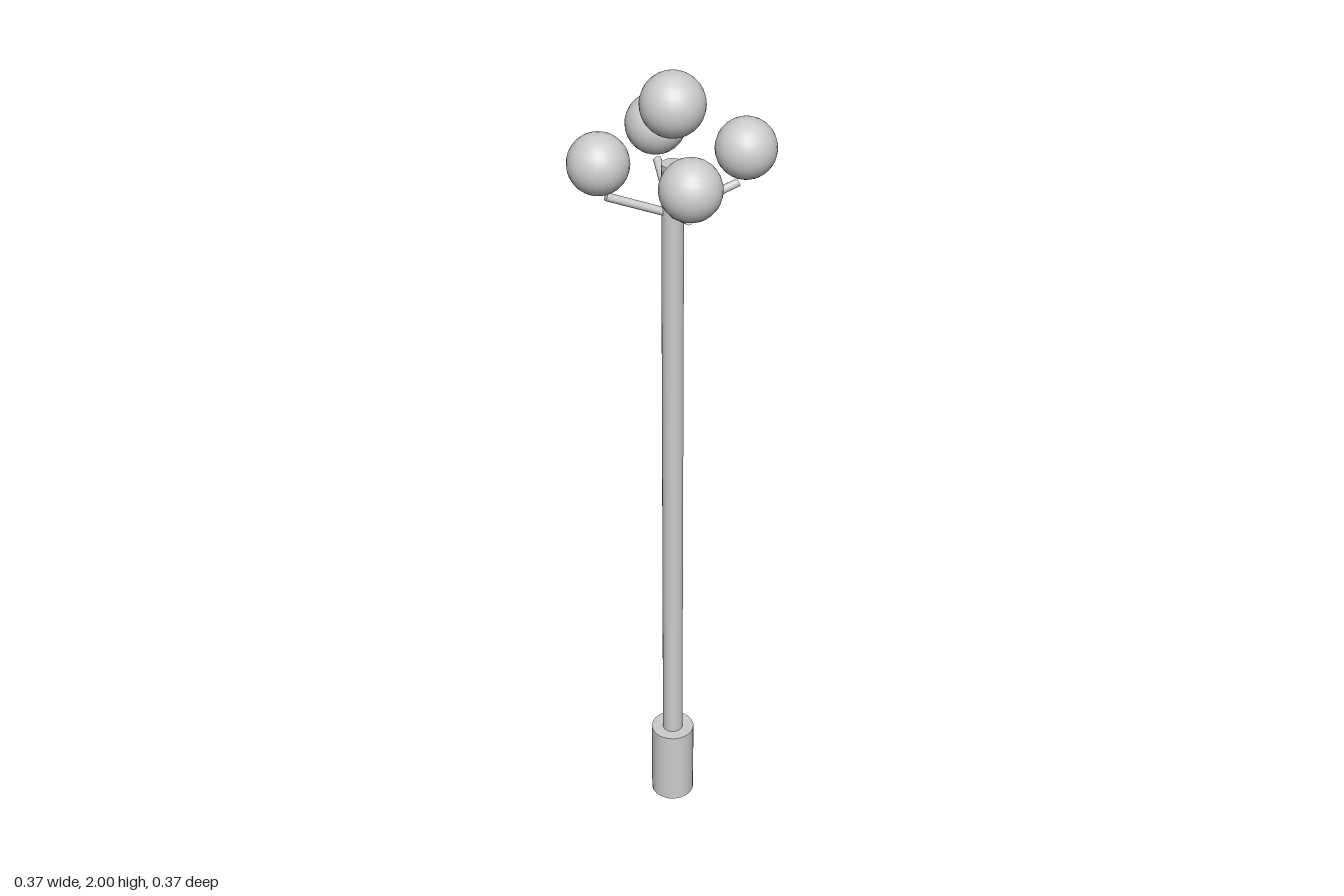
import * as THREE from 'three';

export function createModel() {
  const model = new THREE.Group();
  model.name = 'streetLamp';
  const grey = new THREE.MeshStandardMaterial({ color: 0xcccccc });
  grey.name = 'light grey';

  const add = (name, geometry, x, y, z) => {
    const mesh = new THREE.Mesh(geometry, grey);
    mesh.name = name;
    mesh.position.set(x, y, z);
    model.add(mesh);
    return mesh;
  };

  // Base and post
  const baseHeight = 0.204, postTop = 1.79;
  add('base', new THREE.CylinderGeometry(0.053, 0.053, baseHeight, 20), 0, baseHeight / 2, 0);
  add('post', new THREE.CylinderGeometry(0.025, 0.025, postTop - baseHeight, 16), 0, (postTop + baseHeight) / 2, 0);

  // Top globe, hovering above the post
  add('topGlobe', new THREE.SphereGeometry(0.072, 24, 16), 0, 1.928, 0);

  // Four diagonal arms, each with a globe above its tip
  const globe = new THREE.SphereGeometry(0.0685, 24, 16);
  const up = new THREE.Vector3(0, 1, 0);
  for (const sx of [-1, 1]) {
    for (const sz of [-1, 1]) {
      const label = (sz > 0 ? 'front' : 'back') + (sx > 0 ? 'Left' : 'Right');
      const start = new THREE.Vector3(sx * 0.013, 1.676, sz * 0.013);
      const end = new THREE.Vector3(sx * 0.104, 1.728, sz * 0.104);
      const along = end.clone().sub(start);
      const mid = start.clone().add(end).multiplyScalar(0.5);
      const arm = add(label + 'Arm', new THREE.CylinderGeometry(0.0095, 0.0095, along.length(), 12), mid.x, mid.y, mid.z);
      arm.quaternion.setFromUnitVectors(up, along.normalize());
      add(label + 'Globe', globe, sx * 0.115, 1.808, sz * 0.115);
    }
  }
  return model;
}
